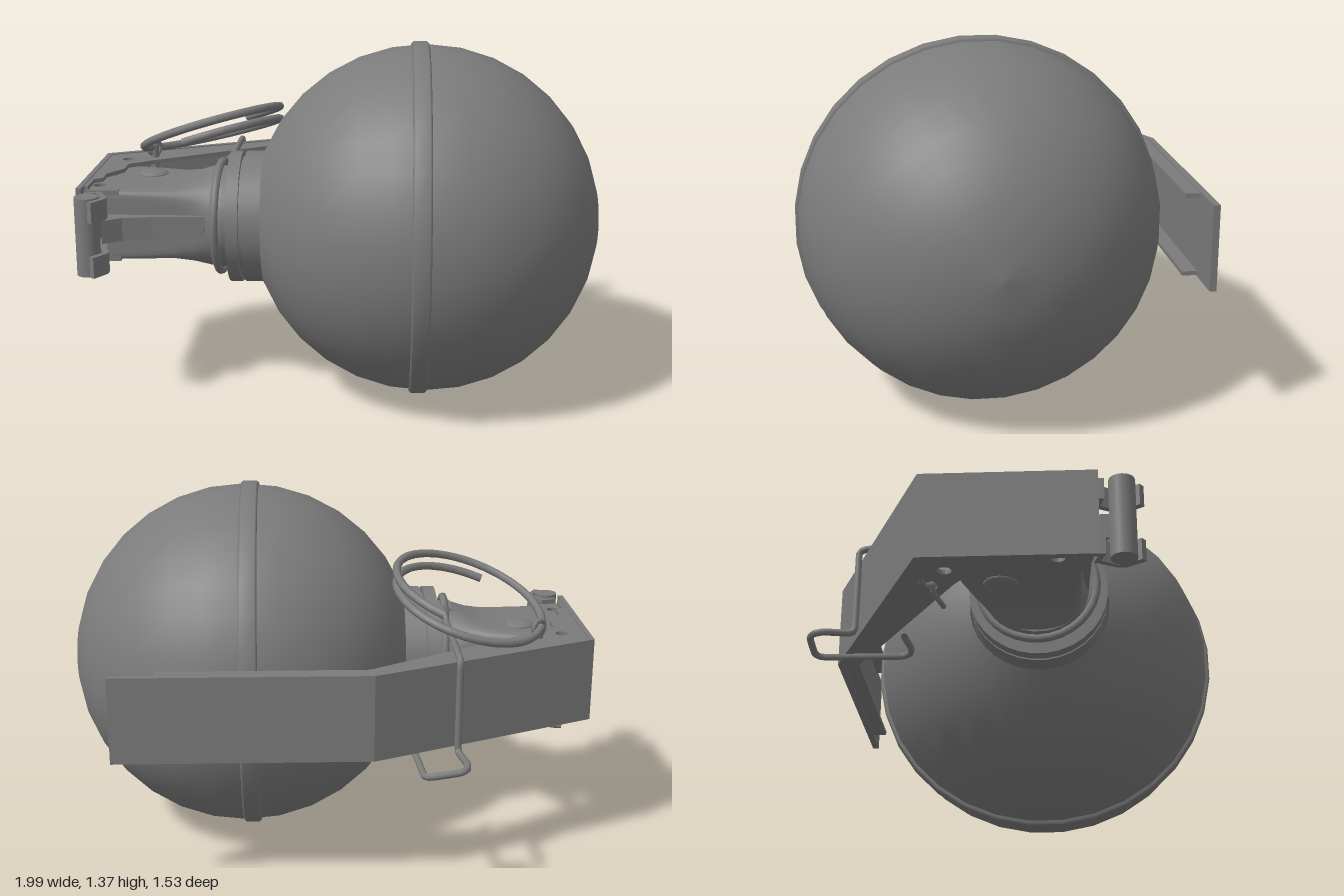
import * as THREE from 'three';

const CY = 0.685, CZ = 0.08;   // main axis runs along x at this y and z
const mat = new THREE.MeshStandardMaterial({ color: 0x7b7b7b, side: THREE.DoubleSide });

export function createModel() {
  const model = new THREE.Group();
  const add = (name, geometry, x = 0, y = 0, z = 0) => {
    const mesh = new THREE.Mesh(geometry, mat);
    mesh.name = name;
    mesh.position.set(x, y, z);
    model.add(mesh);
    return mesh;
  };
  // Turned part: profile of [x, radius] around the main axis, a flat side on top
  const turned = (name, profile) => {
    const g = new THREE.LatheGeometry(profile.map(([x, r]) => new THREE.Vector2(r, x)), 32, Math.PI / 32);
    g.rotateZ(-Math.PI / 2);
    return add(name, g, 0, CY, CZ);
  };
  // Flat part: outline of [x, z], extruded down from top by height
  const slab = (name, outline, top, height, holes = []) => {
    const s = new THREE.Shape(outline.map(p => new THREE.Vector2(...p)));
    for (const [x, z, r] of holes) s.holes.push(new THREE.Path().absarc(x, z, r, 0, Math.PI * 2, true));
    const g = new THREE.ExtrudeGeometry(s, { depth: height, bevelEnabled: false, curveSegments: 8 });
    g.rotateX(Math.PI / 2);
    return add(name, g, 0, top, 0);
  };
  // Bent wire through points, with corners lightly rounded
  const wire = (name, pts, r = 0.013) => {
    const curve = new THREE.CatmullRomCurve3(pts.map(p => new THREE.Vector3(...p)), false, 'catmullrom', 0.15);
    return add(name, new THREE.TubeGeometry(curve, pts.length * 6, r, 8), 0, 0, 0);
  };

  // Round body and its seam band
  const ball = [];
  for (let i = 0; i <= 14; i++) {
    const a = 2.74 * (1 - i / 14);
    ball.push([0.318 + 0.675 * Math.cos(a), 0.675 * Math.sin(a)]);
  }
  turned('body', ball);
  turned('seamBand', [[0.262, 0.65], [0.262, 0.678], [0.27, 0.686], [0.322, 0.686], [0.33, 0.678], [0.33, 0.65]]);

  // Neck collars with grooves between them
  const collar = (name, x0, x1, r) => turned(name, [[x0, 0.1], [x0, r], [x0, r], [x1, r], [x1, r], [x1, 0.1]]);
  collar('neckCore', -0.5, -0.28, 0.2);
  collar('rearCollar', -0.375, -0.28, 0.257);
  collar('collarGroove', -0.39, -0.37, 0.235);
  collar('frontCollar', -0.435, -0.388, 0.257);
  const wrap = add('neckWire', new THREE.TorusGeometry(0.215, 0.016, 8, 32), -0.472, CY, CZ);
  wrap.rotation.y = Math.PI / 2 - 0.05;

  // Housing: lofted from a box at the hinge end to a round neck
  // each section: x, half height, rear z, front z, squareness exponent
  const sections = [
    [-0.9, 0.14, -0.2, 0.245, 0.12], [-0.75, 0.138, -0.18, 0.245, 0.15],
    [-0.64, 0.142, -0.15, 0.245, 0.25], [-0.57, 0.16, -0.13, 0.25, 0.45],
    [-0.51, 0.19, -0.125, 0.265, 0.8], [-0.46, 0.205, -0.125, 0.285, 1],
  ];
  const N = 32, pos = [], idx = [];
  const pw = (v, e) => Math.sign(v) * Math.abs(v) ** e;
  for (const [x, hy, z0, z1, e] of sections) {
    for (let j = 0; j < N; j++) {
      const a = (j + 0.5) / N * Math.PI * 2;
      pos.push(x, CY + hy * pw(Math.cos(a), e), (z0 + z1) / 2 + (z1 - z0) / 2 * pw(Math.sin(a), e));
    }
  }
  for (let i = 0; i < sections.length - 1; i++) {
    for (let j = 0; j < N; j++) {
      const a = i * N + j, c = i * N + (j + 1) % N;
      idx.push(a, c, a + N, c, c + N, a + N);
    }
  }
  const loft = new THREE.BufferGeometry();
  loft.setAttribute('position', new THREE.Float32BufferAttribute(pos, 3));
  loft.setIndex(idx);
  loft.computeVertexNormals();
  add('housing', loft);

  // Curved rib that carries the hinge
  slab('hingeRib', [[-0.9, 0.2], [-0.9, 0.34], [-0.83, 0.295], [-0.72, 0.275], [-0.52, 0.265], [-0.52, 0.2]], 0.73, 0.09);

  // Pierced lugs at the housing's end, and bosses above and below
  for (const s of [-1, 1]) {
    slab('housingLug', [[-0.98, 0], [-0.85, 0], [-0.85, 0.245], [-0.98, 0.245]], CY + s * 0.13 + 0.01, 0.02, [[-0.935, 0.16, 0.026]]);
    const boss = add('boss', new THREE.SphereGeometry(0.06, 16, 8), -0.76, CY + s * 0.138, -0.04);
    boss.scale.y = 0.3;
  }

  // Lever: bent outer strip, end plate and side flanges
  slab('leverStrip', [[-1, -0.31], [-0.15, -0.705], [0.78, -0.705], [0.78, -0.68], [-0.145, -0.68], [-0.98, -0.293]], 0.845, 0.32);
  slab('leverEndPlate', [[-1, -0.31], [-0.98, -0.31], [-0.98, 0.3], [-1, 0.3]], 0.845, 0.32);
  const flange = [[-0.99, -0.31], [-0.15, -0.695], [0.62, -0.695], [0.62, -0.625], [-0.135, -0.625], [-0.79, -0.2],
    [-0.88, -0.13], [-0.88, -0.05], [-0.935, 0.04], [-0.935, 0.11], [-0.965, 0.13], [-0.965, 0.24], [-0.99, 0.24]];
  slab('upperLeverFlange', flange, 0.841, 0.016, [[-0.895, -0.22, 0.025]]);
  slab('lowerLeverFlange', flange, 0.545, 0.016, [[-0.895, -0.22, 0.025]]);

  // Hinge pin and the two curled hooks around it
  add('hingePin', new THREE.CylinderGeometry(0.046, 0.046, 0.3, 16), -0.943, CY, 0.38);
  for (const top of [0.83, 0.62]) {
    slab('hingeHook', [[-0.97, 0.3], [-0.91, 0.28], [-0.87, 0.36], [-0.87, 0.39], [-0.91, 0.455],
      [-0.928, 0.44], [-0.89, 0.385], [-0.89, 0.36], [-0.92, 0.305], [-0.97, 0.32]], top, 0.08);
  }

  // Cotter pin with splayed legs below
  const px = -0.795, pz = -0.27;
  wire('cotterPin', [[px, 0.89, pz], [px, 0.7, pz], [px, 0.52, pz]], 0.018);
  for (const s of [-1, 1]) {
    wire('cotterLeg', [[px, 0.54, pz], [px + s * 0.025, 0.515, pz], [px + s * 0.06, 0.495, pz + s * 0.02],
      [px + s * 0.1, 0.495, pz + s * 0.03]], 0.01);
  }
  const eye = add('cotterEye', new THREE.TorusGeometry(0.027, 0.01, 8, 16), px, 0.88, pz);
  eye.rotation.y = 0.6;

  // Pull ring: a tilted split ring of one and a half turns
  const coil = [];
  for (let i = 0; i <= 48; i++) {
    const t = i / 48, a = 1.87 - t * 9.28;
    const x = 0.278 * Math.cos(a), z = 0.278 * Math.sin(a);
    coil.push([-0.54 + x, 0.935 + 0.075 * t + 0.27 * x + 0.25 * z, -0.18 + z]);
  }
  wire('pullRing', coil, 0.016);

  // Safety clip: from the neck, over the lever and into a loop below it
  wire('safetyClip', [[-0.5, 0.86, 0.01], [-0.46, 0.885, 0], [-0.455, 0.885, -0.08], [-0.46, 0.865, -0.2], [-0.46, 0.86, -0.55],
    [-0.46, 0.85, -0.585], [-0.46, 0.83, -0.59], [-0.46, 0.53, -0.59], [-0.465, 0.51, -0.61], [-0.48, 0.51, -0.7],
    [-0.475, 0.505, -0.74], [-0.45, 0.5, -0.755], [-0.35, 0.485, -0.755], [-0.325, 0.48, -0.73],
    [-0.305, 0.485, -0.44], [-0.325, 0.49, -0.4], [-0.36, 0.495, -0.395], [-0.45, 0.5, -0.41]]);
  return model;
}
